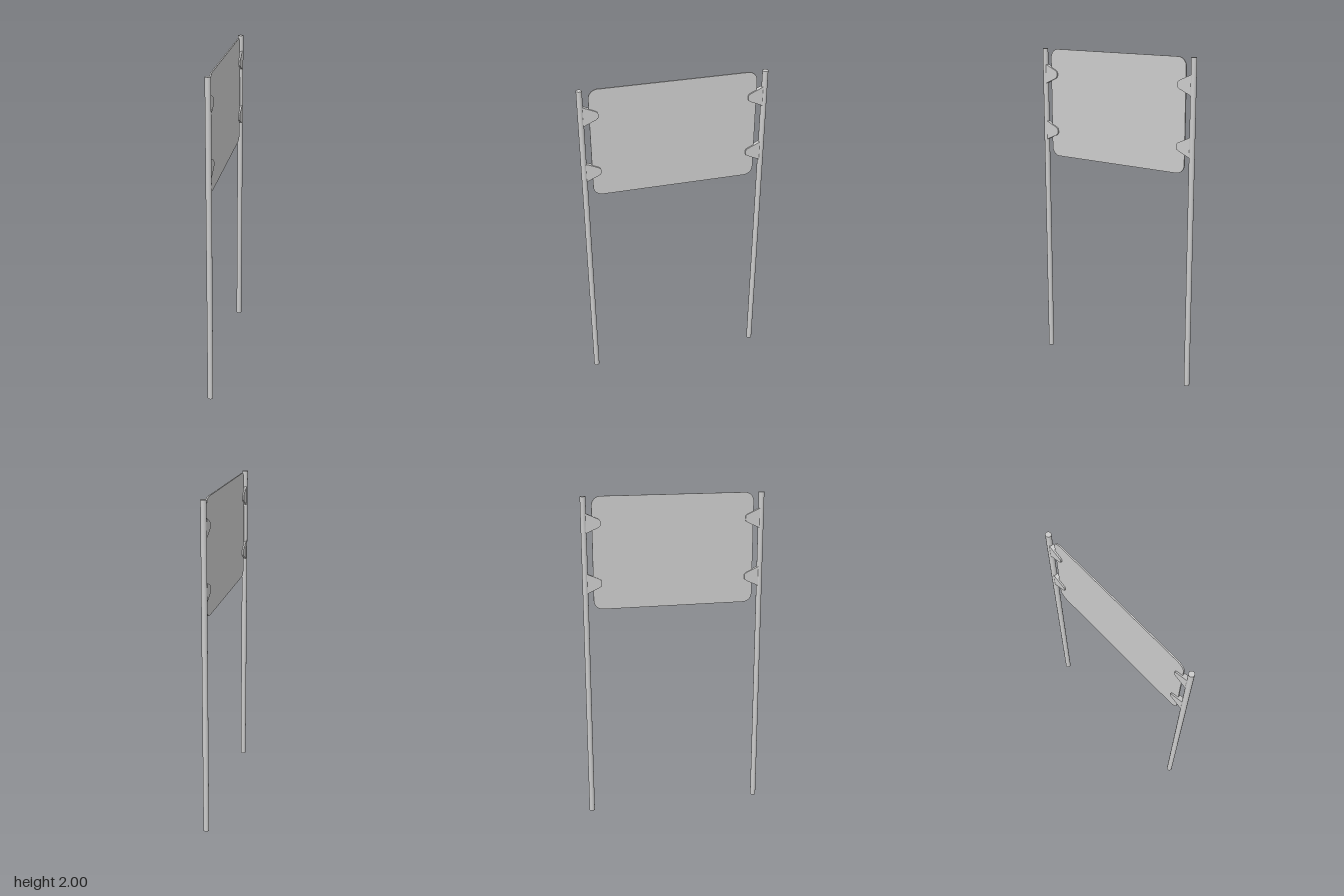
import * as THREE from 'three';

const grey = new THREE.MeshStandardMaterial({ color: 0xcccccc });

// Extrude a shape drawn in (z, y) so that it is centred on x = 0
function plate(shape, thickness) {
  const geo = new THREE.ExtrudeGeometry(shape, { depth: thickness, bevelEnabled: false, curveSegments: 8 });
  geo.translate(0, 0, -thickness / 2);
  geo.rotateY(-Math.PI / 2);
  return geo;
}

function roundedRect(x0, y0, x1, y1, r) {
  const s = new THREE.Shape();
  s.absarc(x1 - r, y0 + r, r, -Math.PI / 2, 0);
  s.absarc(x1 - r, y1 - r, r, 0, Math.PI / 2);
  s.absarc(x0 + r, y1 - r, r, Math.PI / 2, Math.PI);
  s.absarc(x0 + r, y0 + r, r, Math.PI, Math.PI * 1.5);
  s.closePath();
  return s;
}

export function createModel() {
  const group = new THREE.Group();
  const add = (name, geo) => {
    const mesh = new THREE.Mesh(geo, grey);
    mesh.name = name;
    group.add(mesh);
    return mesh;
  };

  // Thin sign panel with rounded corners
  add('panel', plate(roundedRect(-0.491, 1.326, 0.491, 2, 0.055), 0.008));

  for (const side of [1, -1]) {
    const label = side > 0 ? 'front' : 'back';

    // Upright post
    const post = add(label + 'Post', new THREE.CylinderGeometry(0.017, 0.017, 2, 20));
    post.position.set(0, 1, side * 0.539);

    // Tapered brackets with a blunt tip, gripping the panel edge
    for (const [level, y] of [['Upper', 1.844], ['Lower', 1.486]]) {
      const outline = [
        [0.53, -0.06], [0.53, 0.06], [0.455, 0.026], [0.443, 0.018],
        [0.44, 0.01], [0.44, -0.01], [0.443, -0.018], [0.455, -0.026],
      ].map(([z, dy]) => new THREE.Vector2(side * z, dy));
      const bracket = add(label + level + 'Bracket', plate(new THREE.Shape(outline), 0.026));
      bracket.position.y = y;
    }
  }
  return group;
}
